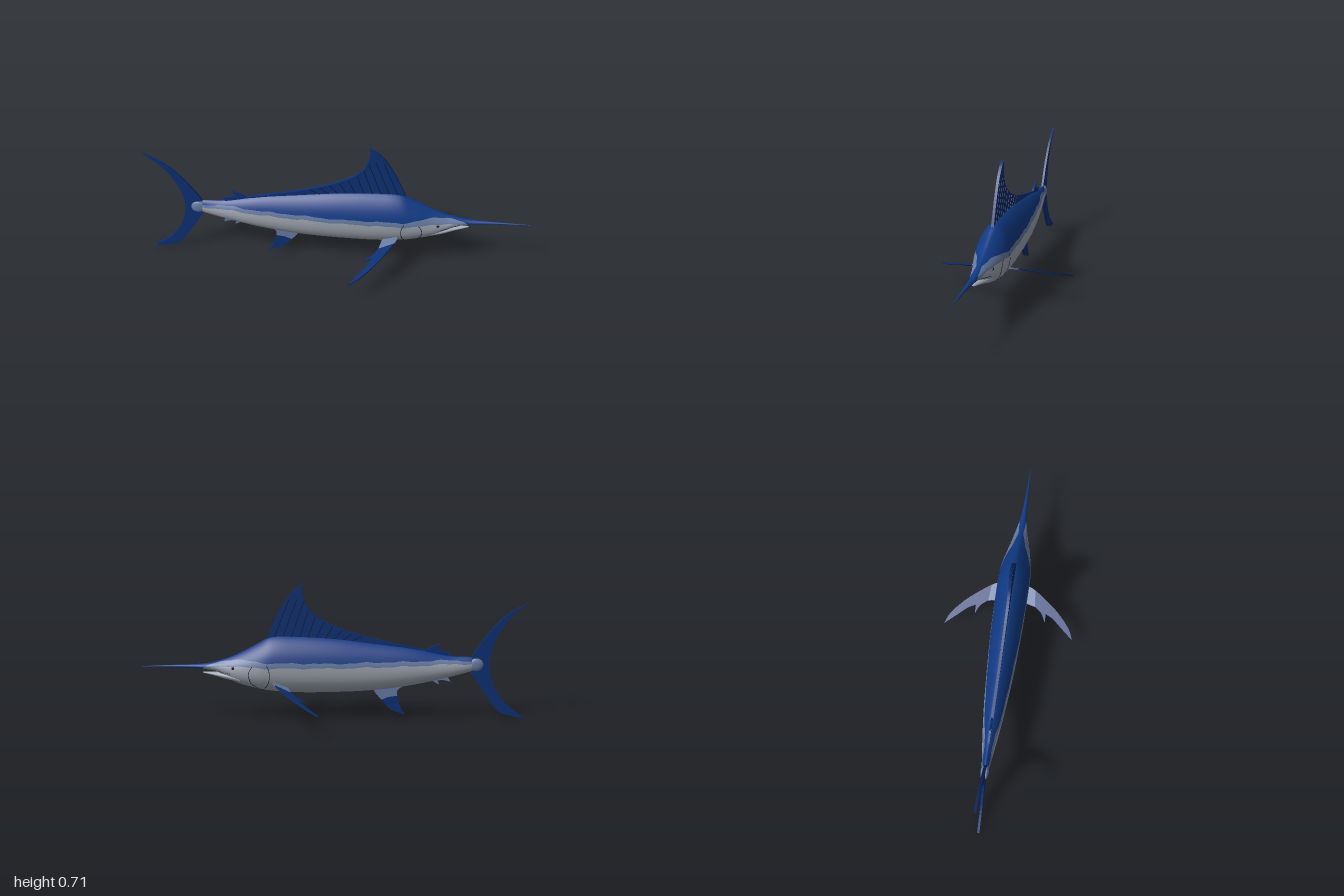
import * as THREE from 'three';

const mat = (name, color, side = THREE.FrontSide) => {
  const m = new THREE.MeshStandardMaterial({ color, side });
  m.name = name;
  return m;
};

// Smooth lookup in rows of [x, a, b, c...] sorted by x
function sample(rows, x, k) {
  let i = 0;
  while (i < rows.length - 2 && x > rows[i + 1][0]) i++;
  const slope = (a, b) => (rows[b][k] - rows[a][k]) / (rows[b][0] - rows[a][0]);
  const tangent = (n) => slope(Math.max(n - 1, 0), Math.min(n + 1, rows.length - 1));
  const h = rows[i + 1][0] - rows[i][0];
  const t = Math.min(1, Math.max(0, (x - rows[i][0]) / h));
  const t2 = t * t, t3 = t2 * t;
  return (2 * t3 - 3 * t2 + 1) * rows[i][k] + (t3 - 2 * t2 + t) * h * tangent(i)
    + (3 * t2 - 2 * t3) * rows[i + 1][k] + (t3 - t2) * h * tangent(i + 1);
}

// Relative half width at relative height f: round belly, narrow back
function widthAt(f) {
  const m = 0.45;
  if (f < m) return Math.sqrt(Math.max(0, 1 - ((m - f) / m) ** 2));
  return Math.max(0, 1 - ((f - m) / (1 - m)) ** 2) ** 0.75;
}

// Trunk and bill: x, top, bottom, half width, lower edge of back colour, lower edge of flank band
const BODY = [
  [-0.78, 0.3, 0.28, 0.004, 0.297, 0.285], [-0.73, 0.325, 0.258, 0.016, 0.305, 0.292],
  [-0.6, 0.334, 0.222, 0.034, 0.315, 0.296], [-0.4, 0.376, 0.178, 0.056, 0.313, 0.29],
  [-0.2, 0.403, 0.152, 0.071, 0.312, 0.287], [0, 0.428, 0.142, 0.081, 0.308, 0.284],
  [0.2, 0.44, 0.141, 0.086, 0.311, 0.285], [0.33, 0.436, 0.15, 0.085, 0.31, 0.283],
  [0.4, 0.4, 0.163, 0.08, 0.316, 0.287], [0.5, 0.347, 0.19, 0.06, 0.321, 0.287],
  [0.56, 0.323, 0.22, 0.044, 0.315, 0.288], [0.61, 0.308, 0.252, 0.032, 0.302, 0.281],
  [0.66, 0.297, 0.263, 0.022, 0.285, 0.271], [0.72, 0.291, 0.268, 0.014, 0.25, 0.25],
  [0.82, 0.287, 0.272, 0.008, 0.25, 0.25], [1, 0.28, 0.277, 0.0015, 0.25, 0.25],
];
const JAW = [
  [0.49, 0.24, 0.195, 0.05, 0, 0], [0.56, 0.253, 0.211, 0.04, 0, 0],
  [0.62, 0.251, 0.228, 0.022, 0, 0], [0.685, 0.25, 0.244, 0.004, 0, 0],
];

// Lofted body with three colour bands running along its length
function loft(rows, steps, materials, ripple) {
  const bands = [[0, 7], [7, 10], [10, 17]];
  const half = 17, ring = half * 2;
  const pos = [], lists = [[], [], []];
  const x0 = rows[0][0], x1 = rows[rows.length - 1][0];
  for (let i = 0; i <= steps; i++) {
    const x = x0 + (x1 - x0) * i / steps;
    const [top, bottom, w, ya, yb] = [1, 2, 3, 4, 5].map((k) => sample(rows, x, k));
    const wave = ripple * (Math.sin(x * 31) + 0.6 * Math.sin(x * 67));
    const rel = (y, low) => Math.min(0.97, Math.max(low, (y + wave - bottom) / (top - bottom)));
    const f1 = rel(ya, 0.02), f2 = Math.min(f1 - 0.005, rel(yb, 0.01));
    const heightAt = (j) => {
      if (j <= 7) return 1 - (1 - f1) * (j / 7) ** 1.4;
      if (j <= 10) return f1 + (f2 - f1) * (j - 7) / 3;
      return f2 * (1 - Math.sin((j - 10) / 7 * Math.PI / 2));
    };
    for (let j = 0; j < ring; j++) {
      const f = heightAt(j <= half ? j : ring - j);
      pos.push(x, bottom + f * (top - bottom), (j <= half ? 1 : -1) * w * widthAt(f));
    }
  }
  for (let i = 0; i < steps; i++) for (let j = 0; j < ring; j++) {
    const a = i * ring + j, b = i * ring + (j + 1) % ring;
    const col = j < half ? j : ring - 1 - j;
    const band = bands.findIndex(([s, e]) => col >= s && col < e);
    lists[band].push(a, b, b + ring, a, b + ring, a + ring);
  }
  const geo = new THREE.BufferGeometry();
  geo.setAttribute('position', new THREE.Float32BufferAttribute(pos, 3));
  geo.setIndex(lists.flat());
  let start = 0;
  lists.forEach((l, k) => { geo.addGroup(start, l.length, k); start += l.length; });
  geo.computeVertexNormals();
  return new THREE.Mesh(geo, materials);
}

// Flat fin whose outline is a chain of smooth curves
function finGeometry(curves, thickness) {
  const shape = new THREE.Shape();
  shape.moveTo(...curves[0][0]);
  curves.forEach((c, i) => {
    const pts = (i ? c : c.slice(1)).map((p) => new THREE.Vector2(...p));
    if (pts.length === 1) shape.lineTo(pts[0].x, pts[0].y);
    else shape.splineThru(pts);
  });
  return new THREE.ExtrudeGeometry(shape, { depth: thickness, bevelEnabled: false, curveSegments: 5 })
    .translate(0, 0, -thickness / 2);
}

export function createModel() {
  const back = mat('back blue', 0x103a85);
  const finBlue = mat('fin blue', 0x0d3074, THREE.DoubleSide);
  const flank = mat('flank blue grey', 0x687ca4, THREE.DoubleSide);
  const belly = mat('belly grey', 0xa2a8b4);
  const dark = mat('dark navy', 0x0a1a3c);
  const model = new THREE.Group();
  const add = (name, obj, parent = model) => { obj.name = name; parent.add(obj); return obj; };
  const fin = (name, curves, thickness, material) =>
    add(name, new THREE.Mesh(finGeometry(curves, thickness), material));

  add('body', loft(BODY, 120, [back, flank, belly], 0.0025));
  add('lowerJaw', loft(JAW, 16, [belly, belly, belly], 0));

  // Tail
  fin('tailFin', [
    [[-0.71, 0.325], [-0.79, 0.445], [-0.89, 0.55], [-1, 0.612]],
    [[-0.935, 0.56], [-0.87, 0.485], [-0.825, 0.395], [-0.806, 0.3], [-0.825, 0.19], [-0.885, 0.09], [-1, 0]],
    [[-0.87, 0.03], [-0.79, 0.125], [-0.71, 0.25]],
  ], 0.012, finBlue);

  // Dorsal sail
  fin('dorsalFin', [
    [[0.355, 0.42], [0.305, 0.535], [0.25, 0.633], [0.2, 0.688], [0.16, 0.71]],
    [[0.166, 0.665], [0.14, 0.59], [0.09, 0.54], [0.01, 0.495], [-0.1, 0.455], [-0.2, 0.427], [-0.32, 0.399], [-0.48, 0.365]],
    [[-0.3, 0.35]], [[0, 0.38]], [[0.3, 0.38]],
  ], 0.014, finBlue);

  // Raised rays sloping back across the sail
  const rays = add('dorsalRays', new THREE.Group());
  const tips = [[0.235, 0.63], [0.195, 0.63], [0.16, 0.62], [0.135, 0.575], [0.1, 0.54], [0.055, 0.512],
    [0.01, 0.487], [-0.04, 0.47], [-0.09, 0.453], [-0.14, 0.438]];
  tips.forEach(([x, y], i) => {
    const foot = new THREE.Vector2(0.31 - i * 0.042, 0.437 - i * 0.004);
    const d = new THREE.Vector2(x, y).sub(foot);
    const ray = new THREE.Mesh(new THREE.BoxGeometry(d.length(), 0.004, 0.017), dark);
    ray.position.set(foot.x + d.x / 2, foot.y + d.y / 2, 0);
    ray.rotation.z = d.angle();
    add('dorsalRay', ray, rays);
  });

  // Small fins near the tail
  fin('secondDorsalFin', [
    [[-0.46, 0.355], [-0.5, 0.38], [-0.55, 0.4]],
    [[-0.533, 0.372]], [[-0.56, 0.362]], [[-0.605, 0.352]], [[-0.58, 0.32]], [[-0.48, 0.33]],
  ], 0.01, finBlue);
  fin('secondAnalFin', [
    [[-0.49, 0.21], [-0.515, 0.198], [-0.545, 0.182]],
    [[-0.537, 0.204]], [[-0.565, 0.206]], [[-0.605, 0.197]], [[-0.58, 0.24]], [[-0.5, 0.23]],
  ], 0.01, flank);

  // Anal fin: pale root and blue blade
  fin('analFinRoot', [
    [[-0.195, 0.17], [-0.215, 0.135], [-0.245, 0.1]],
    [[-0.28, 0.115]], [[-0.328, 0.122]],
    [[-0.327, 0.15], [-0.355, 0.172]], [[-0.3, 0.19]],
  ], 0.013, flank);
  fin('analFinBlade', [
    [[-0.245, 0.1], [-0.295, 0.048], [-0.37, 0.02]],
    [[-0.343, 0.065], [-0.328, 0.122]], [[-0.28, 0.115]],
  ], 0.013, finBlue);

  // Pectoral fins, drawn in plan then sloped down towards the tip
  const root = [[[0.315, 0.06], [0.318, 0.09], [0.305, 0.12]], [[0.225, 0.128]], [[0.24, 0.06]]];
  const blade = [
    [[0.305, 0.12], [0.28, 0.16], [0.215, 0.25], [0.14, 0.323], [0.083, 0.352]],
    [[0.135, 0.285], [0.175, 0.235], [0.196, 0.192]],
    [[0.15, 0.192]], [[0.195, 0.168], [0.225, 0.128]],
  ];
  for (const s of [1, -1]) {
    const label = s > 0 ? 'right' : 'left';
    const pectoral = add(label + 'PectoralFin', new THREE.Group());
    for (const [name, outline, material] of [['root', root, flank], ['blade', blade, finBlue]]) {
      const geo = finGeometry(outline.map((c) => c.map(([x, z]) => [x, -s * z])), 0.008);
      geo.rotateX(-Math.PI / 2);
      const p = geo.attributes.position;
      for (let i = 0; i < p.count; i++) p.setY(i, p.getY(i) + 0.104 + 0.44 * (p.getX(i) - 0.083));
      geo.computeVertexNormals();
      add(label + 'Pectoral' + name, new THREE.Mesh(geo, material), pectoral);
    }

    // Tail keel
    const keel = add(label + 'TailKeel', new THREE.Mesh(new THREE.SphereGeometry(1, 20, 12), flank));
    keel.scale.set(0.038, 0.034, 0.012);
    keel.position.set(-0.735, 0.288, s * 0.009);

    // Gill cover and mouth creases following the skin
    const skin = (x, y) => {
      const top = sample(BODY, x, 1), bottom = sample(BODY, x, 2);
      return new THREE.Vector3(x, y, s * sample(BODY, x, 3) * widthAt((y - bottom) / (top - bottom)));
    };
    const creases = {
      GillCrease: [[0.35, 0.3], [0.337, 0.265], [0.337, 0.225], [0.348, 0.19], [0.365, 0.168]],
      CheekCrease: [[0.425, 0.29], [0.442, 0.26], [0.442, 0.225], [0.425, 0.19], [0.4, 0.172]],
      MouthCrease: [[0.54, 0.247], [0.57, 0.252], [0.6, 0.257], [0.64, 0.264]],
    };
    for (const [name, pts] of Object.entries(creases)) {
      const path = new THREE.CatmullRomCurve3(pts.map(([x, y]) => skin(x, y)));
      add(label + name, new THREE.Mesh(new THREE.TubeGeometry(path, 20, 0.0016, 6), dark));
    }

    // Eye
    const eye = add(label + 'Eye', new THREE.Mesh(new THREE.SphereGeometry(1, 14, 10), dark));
    eye.position.copy(skin(0.525, 0.278));
    eye.scale.set(0.008, 0.008, 0.003);
  }
  return model;
}
